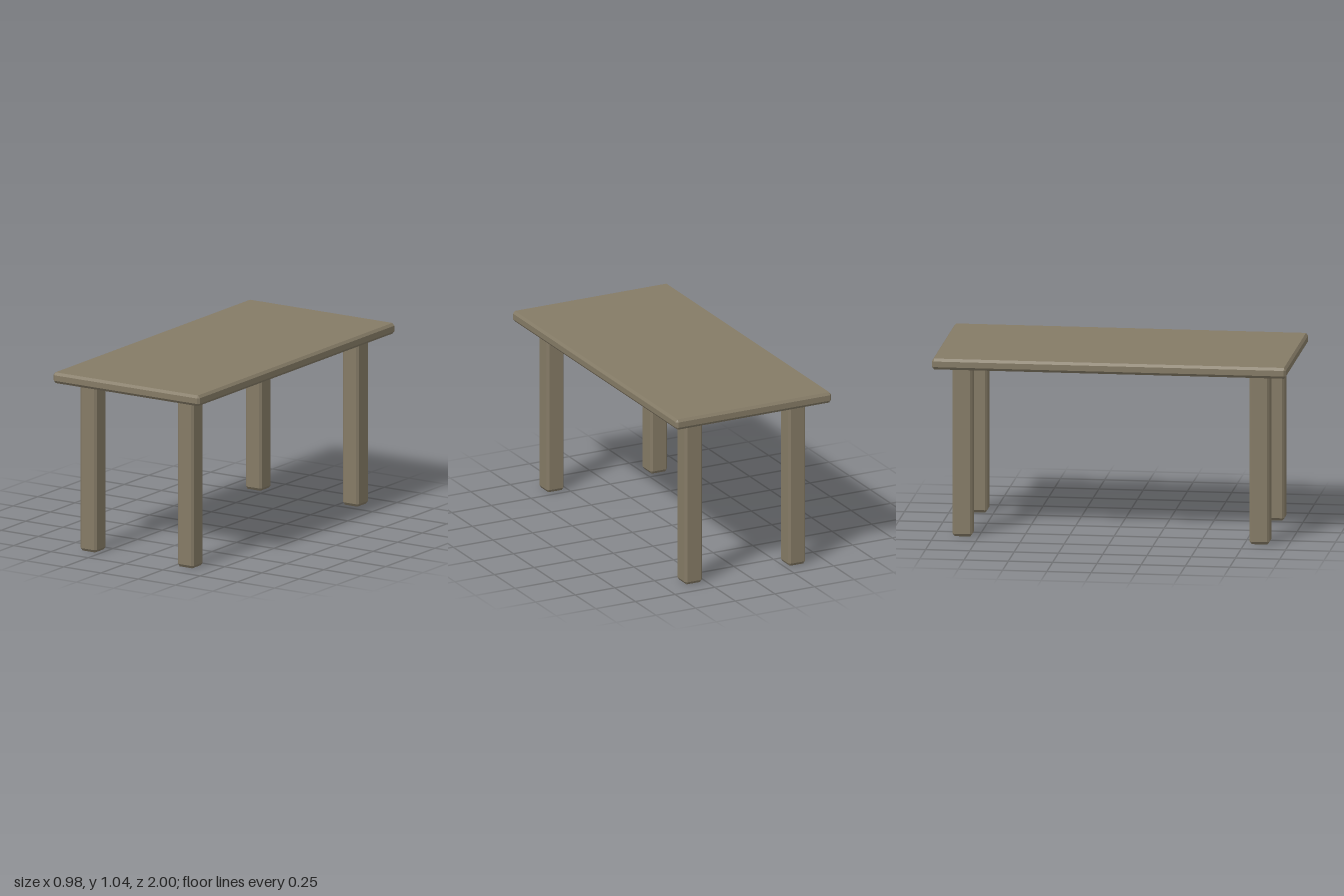
import * as THREE from 'three';

// Lofts rectangular cross-sections with cut corners.
// Each ring: [y, halfX, halfZ, cornerCut], listed from bottom to top.
function loftChamfered(rings, capTop) {
  const loops = rings.map(([y, hx, hz, c]) => [
    [hx, hz - c], [hx - c, hz], [c - hx, hz], [-hx, hz - c],
    [-hx, c - hz], [c - hx, -hz], [hx - c, -hz], [hx, c - hz],
  ].map(([x, z]) => new THREE.Vector3(x, y, z)));

  const points = [];
  const tri = (a, b, c) => {
    const area = b.clone().sub(a).cross(c.clone().sub(a)).length();
    if (area > 1e-9) points.push(a, b, c);
  };
  const cap = (loop, up) => {
    const centre = new THREE.Vector3(0, loop[0].y, 0);
    loop.forEach((p, i) => {
      const q = loop[(i + 1) % loop.length];
      if (up) tri(centre, q, p);
      else tri(centre, p, q);
    });
  };

  for (let r = 0; r < loops.length - 1; r++) {
    for (let i = 0; i < 8; i++) {
      const j = (i + 1) % 8;
      tri(loops[r][i], loops[r + 1][i], loops[r][j]);
      tri(loops[r][j], loops[r + 1][i], loops[r + 1][j]);
    }
  }
  cap(loops[0], false);
  if (capTop) cap(loops[loops.length - 1], true);

  const geometry = new THREE.BufferGeometry().setFromPoints(points);
  geometry.computeVertexNormals();
  return geometry;
}

export function createModel() {
  const table = new THREE.Group();
  table.name = 'table';

  const wood = new THREE.MeshStandardMaterial({ color: 0x857b66 });
  wood.name = 'greyBrownWood';
  wood.flatShading = true;

  // Table top with bevelled edges
  const bevel = 0.012;
  const top = new THREE.Mesh(loftChamfered([
    [0.975, 0.49 - bevel, 1 - bevel, 0],
    [0.99, 0.49, 1, bevel],
    [1.022, 0.49, 1, bevel],
    [1.037, 0.49 - bevel, 1 - bevel, 0],
  ], true), wood);
  top.name = 'tableTop';
  table.add(top);

  // Legs: bevelled foot, chamfered shaft, flared joint under the top
  const legGeometry = loftChamfered([
    [0, 0.042, 0.044, 0],
    [0.016, 0.054, 0.056, bevel],
    [0.96, 0.054, 0.056, bevel],
    [0.975, 0.066, 0.068, bevel],
  ], false);
  for (const [zName, z] of [['front', 0.836], ['back', -0.842]]) {
    for (const [xName, x] of [['Left', 0.326], ['Right', -0.326]]) {
      const leg = new THREE.Mesh(legGeometry, wood);
      leg.name = `${zName}${xName}Leg`;
      leg.position.set(x, 0, z);
      table.add(leg);
    }
  }
  return table;
}
